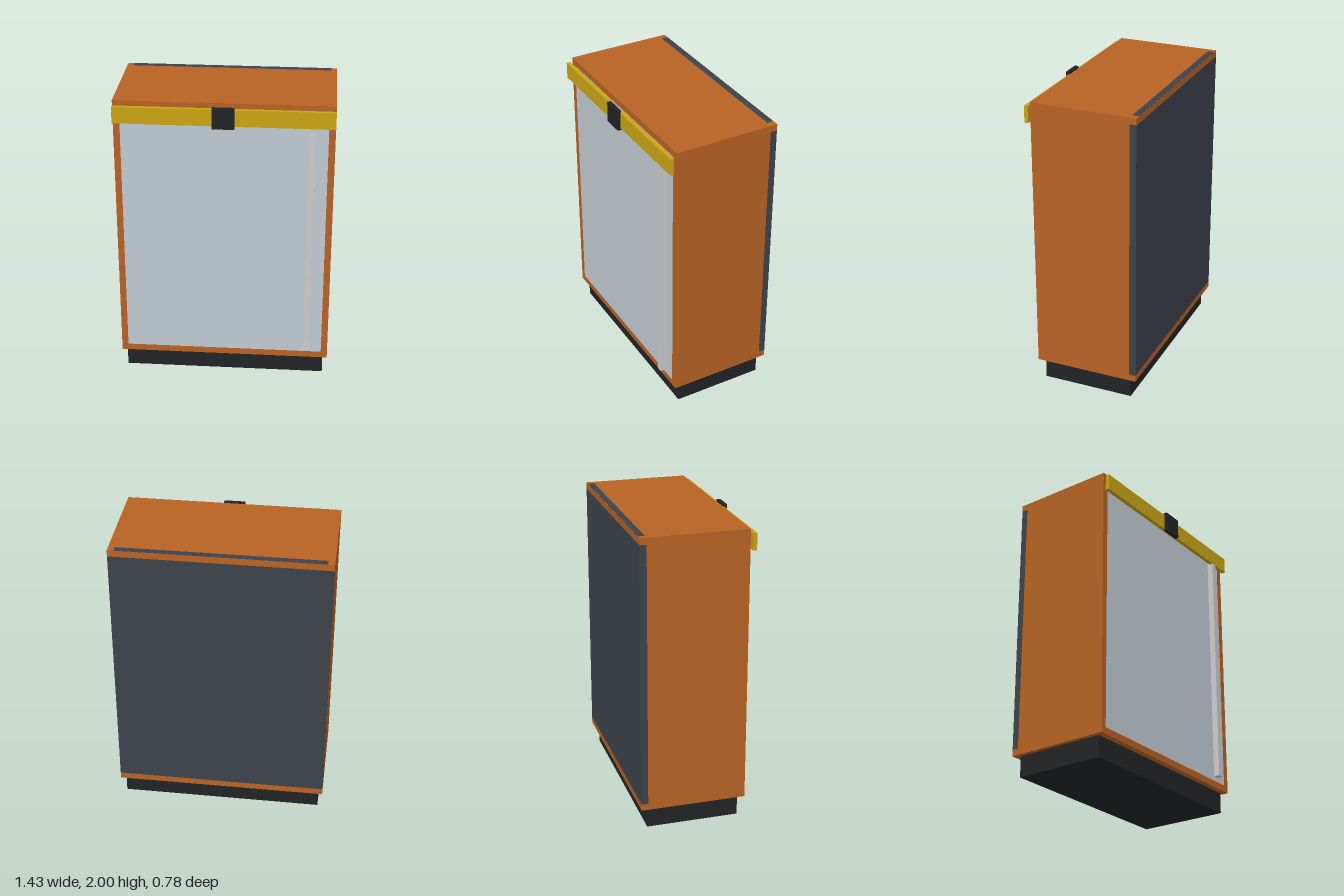
import * as THREE from 'three';

const material = (color) => new THREE.MeshStandardMaterial({ color });

export function createModel() {
  const group = new THREE.Group();
  const orange = material(0xb86224);
  const slate = material(0x3d434b);
  const pale = material(0xc0cad2);
  const black = material(0x222326);
  const yellow = material(0xc9a414);
  const grey = material(0xcccccc);

  // Box given by its extents on each axis
  const box = (name, mat, [x0, x1], [y0, y1], [z0, z1]) => {
    const mesh = new THREE.Mesh(new THREE.BoxGeometry(x1 - x0, y1 - y0, z1 - z0), mat);
    mesh.position.set((x0 + x1) / 2, (y0 + y1) / 2, (z0 + z1) / 2);
    mesh.name = name;
    group.add(mesh);
  };

  const W = 0.713, inner = 0.67;
  const bottom = 0.142, floor = 0.187, ceiling = 1.955, top = 2;
  const back = -0.388, backInner = -0.343, front = 0.325;

  // Recessed plinth
  box('plinth', black, [-0.683, 0.683], [0, bottom], [-0.343, 0.283]);

  // Carcass
  box('bottomPanel', orange, [-W, W], [bottom, floor], [back, front]);
  box('topPanel', orange, [-W, W], [ceiling, top - 0.001], [back, front]);
  box('leftSide', orange, [inner, W], [floor, ceiling], [backInner, front]);
  box('rightSide', orange, [-W, -inner], [floor, ceiling], [backInner, front]);
  box('backPanel', slate, [-W, W], [floor, ceiling], [back, backInner]);
  box('backPanelTopEdge', slate, [-inner, inner], [ceiling + 0.01, top], [back + 0.001, backInner]);

  // Door and its tall handle
  box('door', pale, [-inner, inner], [floor, ceiling], [front - 0.045, front]);
  box('doorHandle', grey, [0.545, 0.588], [0.217, 1.925], [front, 0.367]);

  // Locking bar across the front with a central lock
  box('lockingBar', yellow, [-W, W], [1.858, 1.97], [0.342, 0.368]);
  box('lock', black, [-0.071, 0.071], [1.845, 1.985], [0.362, 0.388]);

  return group;
}
